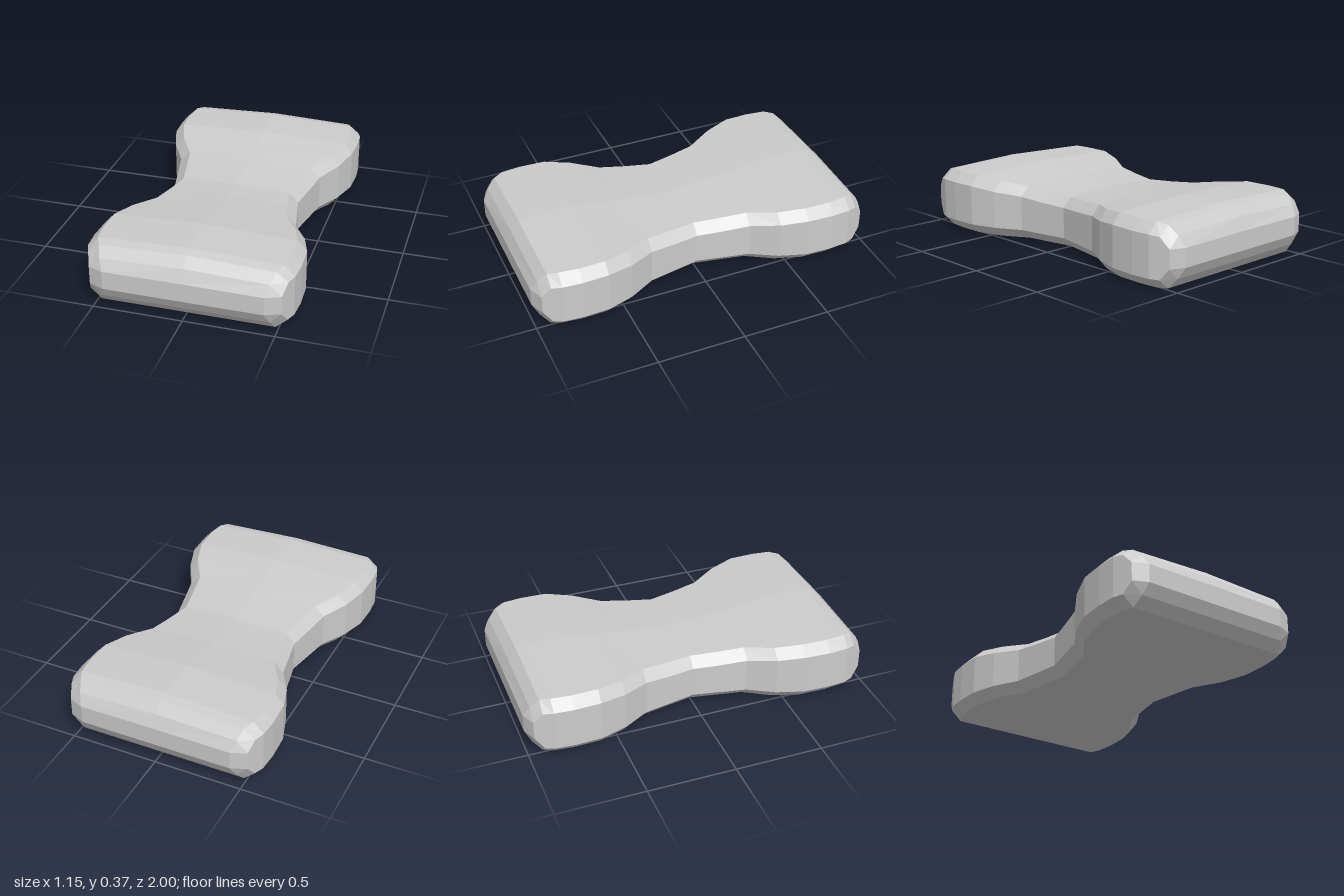
import * as THREE from 'three';

// Half the body, from waist to tip:
// [z, half width, bevelled half width, bottom, side bottom, side top, top edge, top crown]
const stations = [
  [0, 0.375, 0.32, 0, 0.057, 0.235, 0.29, 0.302],
  [0.15, 0.405, 0.348, 0, 0.057, 0.243, 0.298, 0.311],
  [0.3, 0.435, 0.377, 0, 0.057, 0.256, 0.311, 0.326],
  [0.45, 0.52, 0.467, 0, 0.057, 0.273, 0.329, 0.345],
  [0.6, 0.568, 0.515, 0, 0.057, 0.29, 0.347, 0.365],
  [0.75, 0.575, 0.52, 0, 0.057, 0.29, 0.347, 0.365],
  [0.86, 0.567, 0.508, 0, 0.057, 0.29, 0.347, 0.365],
  [0.915, 0.545, 0.482, 0, 0.057, 0.284, 0.335, 0.352],
  [0.965, 0.525, 0.462, 0.057, 0.12, 0.225, 0.285, 0.3],
  [1, 0.44, 0.44, 0.12, 0.12, 0.225, 0.225, 0.228],
];

// Bevelled cross-section, counter-clockwise seen from +z
function section([z, w, inner, bottom, sideLow, sideHigh, top, crown]) {
  return [
    [inner, bottom], [w, sideLow], [w, sideHigh], [inner, top], [0, crown],
    [-inner, top], [-w, sideHigh], [-w, sideLow], [-inner, bottom],
  ].map(([x, y]) => new THREE.Vector3(x, y, z));
}

// Skin of quads between sections, closed by a fan at each end
function loft(sections) {
  const positions = [];
  const triangle = (a, b, c) => {
    if (a.equals(b) || b.equals(c) || c.equals(a)) return;
    for (const p of [a, b, c]) positions.push(p.x, p.y, p.z);
  };
  const n = sections[0].length;
  for (let i = 0; i < sections.length - 1; i++) {
    for (let j = 0; j < n; j++) {
      const k = (j + 1) % n;
      const [s, t] = [sections[i], sections[i + 1]];
      triangle(s[j], s[k], t[k]);
      triangle(s[j], t[k], t[j]);
    }
  }
  const back = sections[0];
  const front = sections[sections.length - 1];
  for (let j = 1; j < n - 1; j++) {
    triangle(back[0], back[j + 1], back[j]);
    triangle(front[0], front[j], front[j + 1]);
  }
  const geometry = new THREE.BufferGeometry();
  geometry.setAttribute('position', new THREE.Float32BufferAttribute(positions, 3));
  geometry.computeVertexNormals();
  return geometry;
}

export function createModel() {
  const group = new THREE.Group();
  group.name = 'waistedPad';

  // Mirror the half profile to the back
  const rear = stations.slice(1).reverse().map(([z, ...rest]) => [-z, ...rest]);
  const body = new THREE.Mesh(
    loft([...rear, ...stations].map(section)),
    new THREE.MeshStandardMaterial({ color: 0xcccccc, flatShading: true }),
  );
  body.name = 'body';
  group.add(body);
  return group;
}
